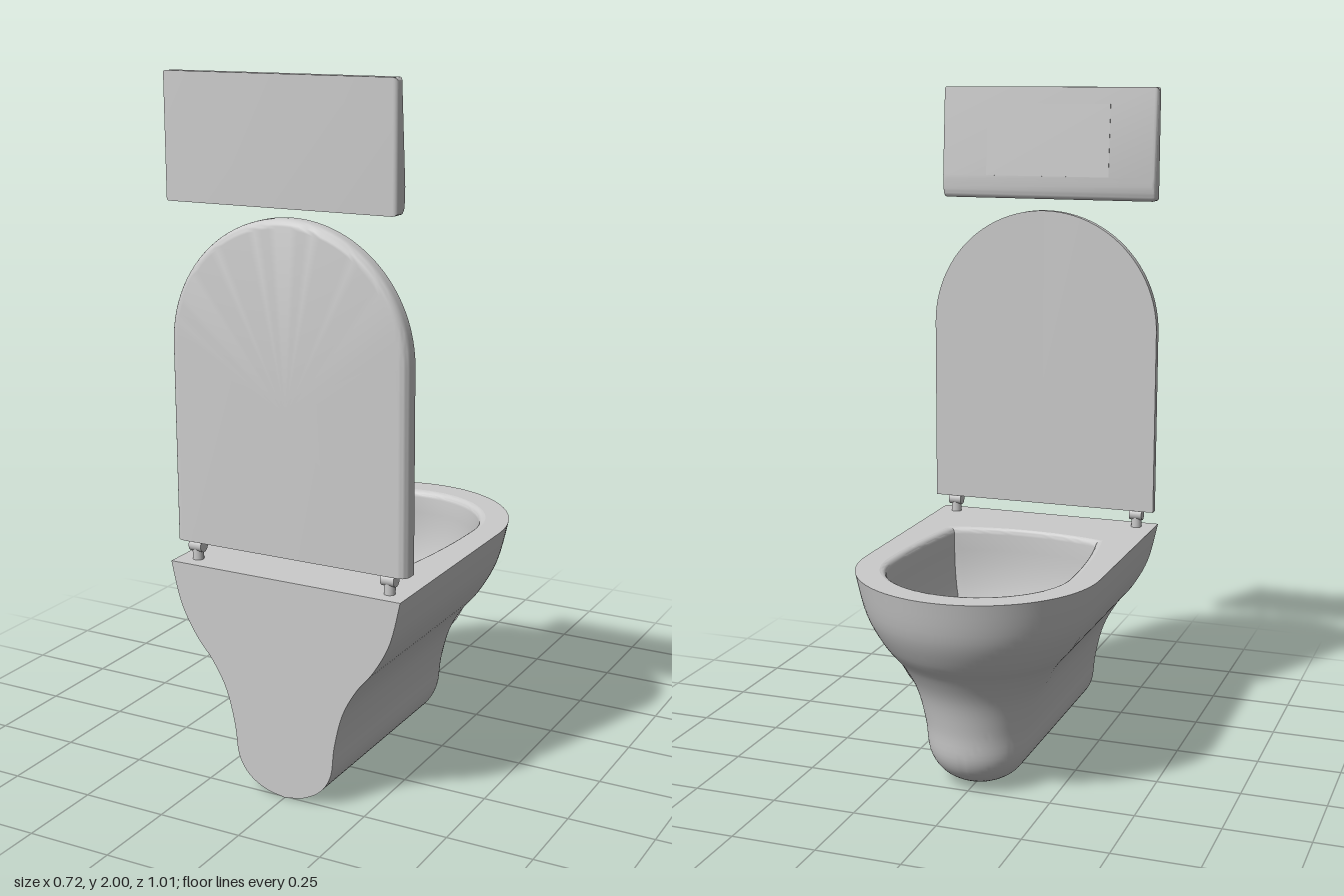
import * as THREE from 'three';
import { toCreasedNormals } from 'three/addons/utils/BufferGeometryUtils.js';

const material = new THREE.MeshStandardMaterial({ color: 0xcccccc });
const V2 = (x, y) => new THREE.Vector2(x, y);
const V3 = (x, y, z) => new THREE.Vector3(x, y, z);

const BACK = 0.505, AXIS = -0.145, RIM = 0.645;

function add(parent, name, geometry) {
  const mesh = new THREE.Mesh(geometry, material);
  mesh.name = name;
  parent.add(mesh);
  return mesh;
}

// Skin between successive rings with equal point counts
function loft(rings, crease = 0.6) {
  const n = rings[0].length, index = [];
  for (let i = 0; i < rings.length - 1; i++) {
    for (let j = 0; j < n - 1; j++) {
      const a = i * n + j, c = a + n;
      index.push(a, a + 1, c, a + 1, c + 1, c);
    }
  }
  const g = new THREE.BufferGeometry().setFromPoints(rings.flat());
  g.setIndex(index);
  return toCreasedNormals(g, crease);
}

// U outline: straight legs from the end to the centre, joined by a half circle
function uOutline(r, centre, end) {
  const pts = [V2(r, end)];
  for (let i = 0; i <= 48; i++) {
    const a = Math.PI * i / 48;
    pts.push(V2(r * Math.cos(a), centre - r * Math.sin(a)));
  }
  pts.push(V2(-r, end));
  return pts;
}

// Bowl outline: bowed back, two corners, tapering sides and a round front
function bowlOutline(cornerX, cornerZ, back, r, centre, front) {
  const p = new THREE.Path();
  const mid = (cornerZ + centre) / 2;
  p.moveTo(-cornerX, cornerZ);
  p.quadraticCurveTo(0, 2 * back - cornerZ, cornerX, cornerZ);
  p.quadraticCurveTo(r, mid, r, centre);
  p.absellipse(0, centre, r, centre - front, 0, -Math.PI, true);
  p.quadraticCurveTo(-r, mid, -cornerX, cornerZ);
  return p.getPoints(20);
}

function buildPan() {
  const pan = new THREE.Group();
  pan.name = 'pan';

  // Outer shell: one profile swept round the front and along the sides
  const profile = new THREE.SplineCurve([
    V2(0, 0), V2(0.06, 0.012), V2(0.115, 0.045), V2(0.148, 0.1), V2(0.16, 0.19),
    V2(0.186, 0.29), V2(0.23, 0.37), V2(0.282, 0.435), V2(0.33, 0.525), V2(0.36, RIM),
  ]).getPoints(45);
  add(pan, 'outerShell', loft(profile.map(p =>
    uOutline(p.x, AXIS, BACK).map(q => V3(q.x, p.y, q.y)))));

  // Flat wall side
  const wall = new THREE.Shape([...profile, ...profile.slice(1).reverse().map(p => V2(-p.x, p.y))]);
  add(pan, 'wallFace', new THREE.ShapeGeometry(wall).translate(0, 0, BACK));

  // Rim, rounded lip, short inner wall and basin
  const opening = grow => bowlOutline(0.23 + grow, 0.245 + grow / 2, 0.282 + grow / 2,
    0.268 + grow, -0.15, -0.412 - grow);
  const flip = pts => pts.map(p => V2(p.x, -p.y));
  const rim = new THREE.Shape(flip(uOutline(0.36, AXIS, BACK)));
  rim.holes.push(new THREE.Path(flip(opening(0.02))));
  add(pan, 'rim', new THREE.ShapeGeometry(rim).rotateX(-Math.PI / 2).translate(0, RIM, 0));

  const rings = [];
  const addRing = (pts, y) => rings.push(pts.map(p => V3(p.x, y, p.y)));
  for (let i = 0; i <= 5; i++) {
    const a = Math.PI / 2 * i / 5;
    addRing(opening(0.02 * (1 - Math.sin(a))), RIM - 0.02 * (1 - Math.cos(a)));
  }
  const top = opening(0);
  const floor = bowlOutline(0.105, 0.135, 0.14, 0.13, -0.13, -0.27);
  for (let i = 0; i <= 12; i++) {
    const t = i / 12;
    const inward = 1 - Math.cos(t * Math.PI / 2);
    addRing(top.map((p, j) => p.clone().lerp(floor[j], inward)),
      0.575 - 0.3 * Math.sin(t * Math.PI / 2));
  }
  addRing(floor.map(p => V2(p.x * 0.5, -0.05 + (p.y + 0.05) * 0.5)), 0.258);
  addRing(floor.map(() => V2(0, -0.05)), 0.25);
  add(pan, 'basin', loft(rings));
  return pan;
}

// Raised lid: flat inner face, rounded outer edge
function buildLid() {
  const lid = new THREE.Group();
  lid.name = 'lid';
  const ring = (r, z) => {
    const u = uOutline(r, -1.265, -0.70).map(p => V3(p.x, -p.y, z));
    return [...u, u[0].clone()];
  };
  const centre = z => ring(0.36, z).map(() => V3(0, 1.1, z));
  const rings = [centre(0.428), ring(0.362, 0.428), ring(0.362, 0.45)];
  for (let i = 1; i <= 6; i++) {
    const a = Math.PI / 2 * i / 6;
    rings.push(ring(0.337 + 0.025 * Math.cos(a), 0.45 + 0.026 * Math.sin(a)));
  }
  rings.push(centre(0.476));
  add(lid, 'lidPanel', loft(rings));

  // Hinges
  for (const side of [-1, 1]) {
    const hinge = new THREE.Group();
    hinge.name = side > 0 ? 'leftHinge' : 'rightHinge';
    hinge.position.set(side * 0.303, 0, 0.453);
    add(hinge, 'hingePost', new THREE.CylinderGeometry(0.016, 0.016, 0.06, 20)).position.y = 0.672;
    add(hinge, 'hingeBarrel', new THREE.CylinderGeometry(0.019, 0.019, 0.04, 20)
      .rotateZ(Math.PI / 2)).position.y = 0.686;
    lid.add(hinge);
  }
  return lid;
}

// Wall flush plate: wedge profile extruded across the width
function buildFlushPlate() {
  const plate = new THREE.Group();
  plate.name = 'flushPlate';
  const b = 0.012, width = 0.69;
  const s = new THREE.Shape();
  s.moveTo(-BACK + b, 1.66 + b);
  s.lineTo(-0.475 + b / 2, 1.66 + b);
  s.quadraticCurveTo(-0.462, 1.675, -0.449 - b, 1.73);
  s.lineTo(-0.468 - b, 2 - b);
  s.lineTo(-BACK + b, 2 - b);
  const body = new THREE.ExtrudeGeometry(s, {
    depth: width - 2 * b, bevelSize: b, bevelThickness: b, bevelSegments: 4, curveSegments: 8,
  });
  body.translate(0, 0, -width / 2 + b).rotateY(Math.PI / 2);
  // The extrusion now runs along x with the profile along z
  add(plate, 'plateBody', toCreasedNormals(body, 0.6));

  // Slim push panel lying on the sloped face
  const panel = add(plate, 'pushPanel', new THREE.BoxGeometry(0.395, 0.22, 0.006));
  panel.position.set(0, 1.84, 0.4585);
  panel.rotation.x = Math.atan2(0.019, 0.258);
  return plate;
}

export function createModel() {
  const model = new THREE.Group();
  model.name = 'wallHungToilet';
  model.add(buildPan(), buildLid(), buildFlushPlate());
  return model;
}
